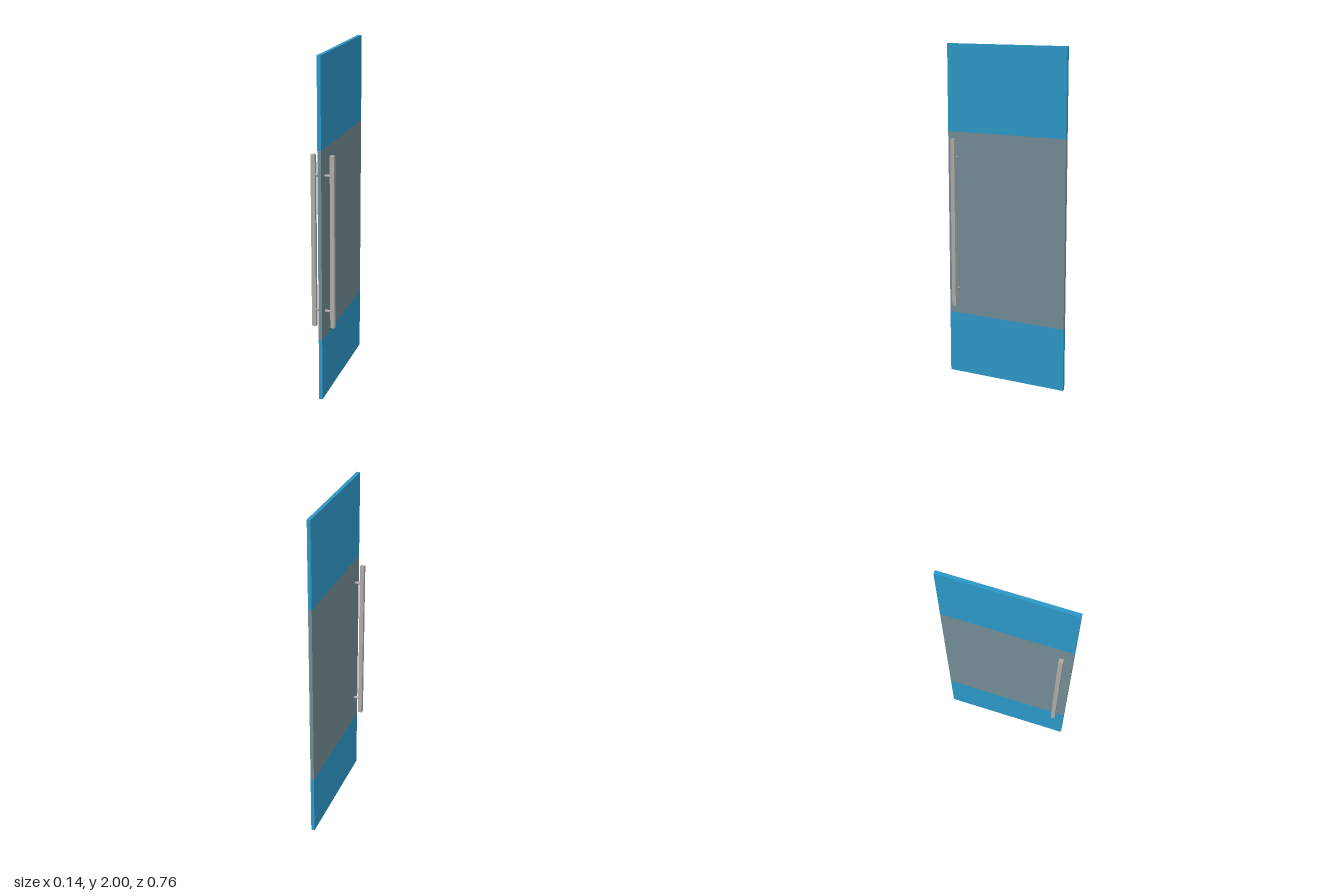
import * as THREE from 'three';

export function createModel() {
  const model = new THREE.Group();
  model.name = 'doorPanel';

  const material = (name, color) => {
    const m = new THREE.MeshStandardMaterial({ color });
    m.name = name;
    return m;
  };
  const blue = material('blue glass', 0x2e9acb);
  const frosted = material('frosted band', 0x758d96);
  const metal = material('brushed metal', 0xb0adaa);

  const add = (name, geometry, mat, x, y, z) => {
    const mesh = new THREE.Mesh(geometry, mat);
    mesh.name = name;
    mesh.position.set(x, y, z);
    model.add(mesh);
    return mesh;
  };

  // Door leaf: clear glass above and below a frosted band
  const leaf = (name, mat, y0, y1) =>
    add(name, new THREE.BoxGeometry(0.021, y1 - y0, 0.76), mat, -0.001, (y0 + y1) / 2, 0);
  leaf('lowerGlass', blue, 0, 0.378);
  leaf('frostedBand', frosted, 0.378, 1.49);
  leaf('upperGlass', blue, 1.49, 2);

  // Square pull bar on each side, held by two round posts
  const handleZ = 0.32;
  for (const [side, s] of [['left', 1], ['right', -1]]) {
    add(side + 'PullBar', new THREE.BoxGeometry(0.025, 1.014, 0.025), metal, s * 0.055, 0.945, handleZ);
    for (const [level, y] of [['Lower', 0.536], ['Upper', 1.337]]) {
      const post = add(side + level + 'Post', new THREE.CylinderGeometry(0.0075, 0.0075, 0.04, 24), metal, s * 0.025, y, handleZ);
      post.rotation.z = Math.PI / 2;
    }
  }
  return model;
}
